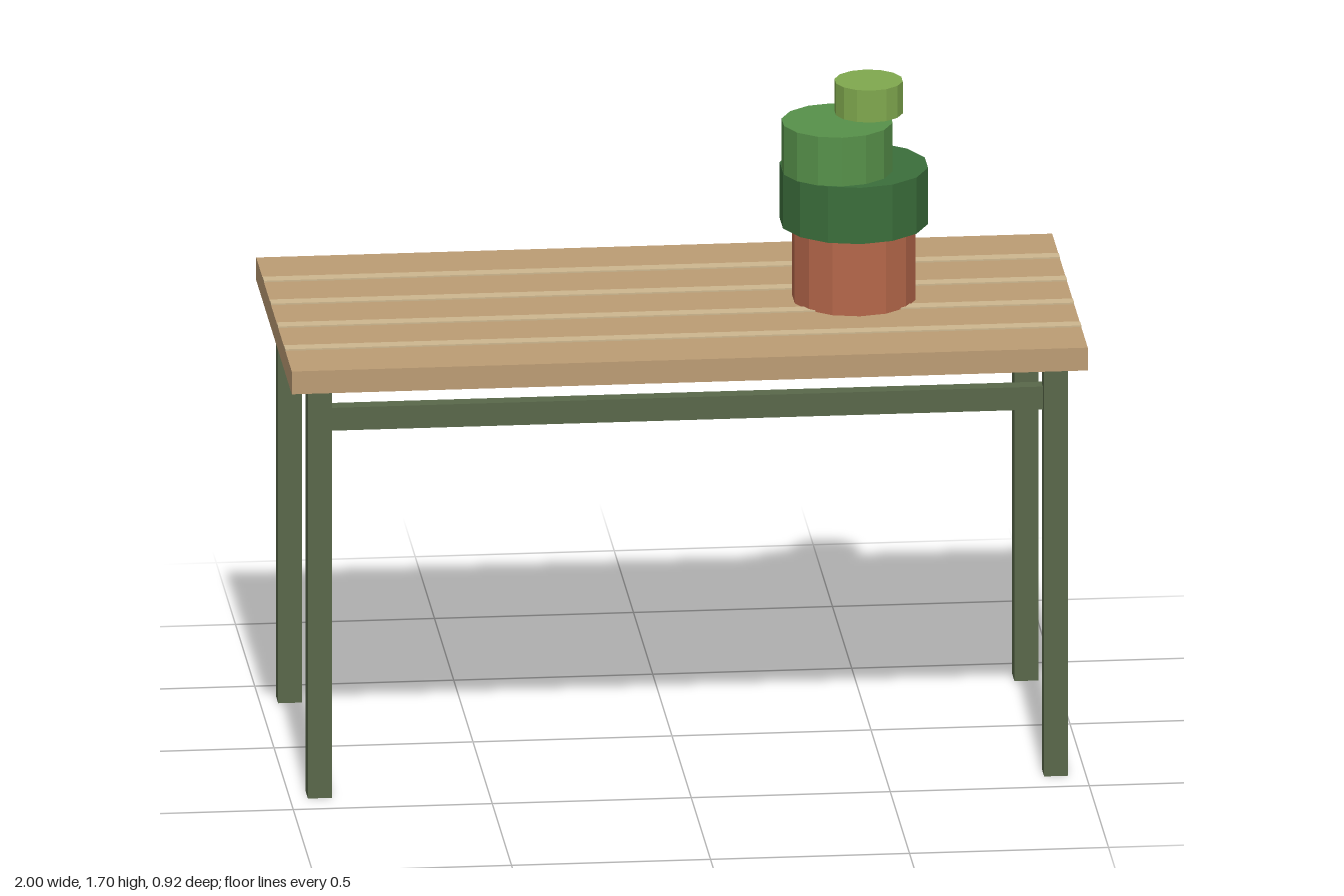
import * as THREE from 'three';

const mat = (color) => new THREE.MeshStandardMaterial({ color, flatShading: true });

export function createModel() {
  const model = new THREE.Group();
  model.name = 'tableWithPlant';

  const wood = mat(0xbc9c74);
  const strip = mat(0xcdb68e);
  const frame = mat(0x59684a);

  const add = (name, geometry, material, x, y, z) => {
    const mesh = new THREE.Mesh(geometry, material);
    mesh.name = name;
    mesh.position.set(x, y, z);
    model.add(mesh);
  };
  // box standing on height y0
  const box = (name, material, w, h, d, x, y0, z) =>
    add(name, new THREE.BoxGeometry(w, h, d), material, x, y0 + h / 2, z);
  // 14-sided drum between two heights
  const drum = (name, color, r, y0, y1, x, z) =>
    add(name, new THREE.CylinderGeometry(r, r, y1 - y0, 14), mat(color), x, (y0 + y1) / 2, z);

  // Table top with raised light strips
  box('tableTop', wood, 2, 0.06, 0.924, 0, 1.08, 0);
  for (let i = 0; i < 4; i++) {
    box('topStrip', strip, 2, 0.01, 0.034, 0, 1.134, (i - 1.5) * 0.185);
  }

  // Legs and the long rails
  for (const sz of [1, -1]) {
    for (const sx of [1, -1]) box('leg', frame, 0.06, 1.08, 0.058, sx * 0.925, 0, sz * 0.386);
    box('rail', frame, 1.85, 0.06, 0.04, 0, 0.955, sz * 0.362);
  }

  // Potted plant: pot and three stacked foliage drums
  drum('pot', 0xb5674a, 0.156, 1.14, 1.34, 0.457, 0);
  drum('lowerFoliage', 0x3b6e3b, 0.187, 1.34, 1.488, 0.457, 0);
  drum('middleFoliage', 0x57914a, 0.14, 1.488, 1.616, 0.412, 0.031);
  drum('upperFoliage', 0x80a84e, 0.086, 1.616, 1.7, 0.497, -0.03);

  return model;
}
